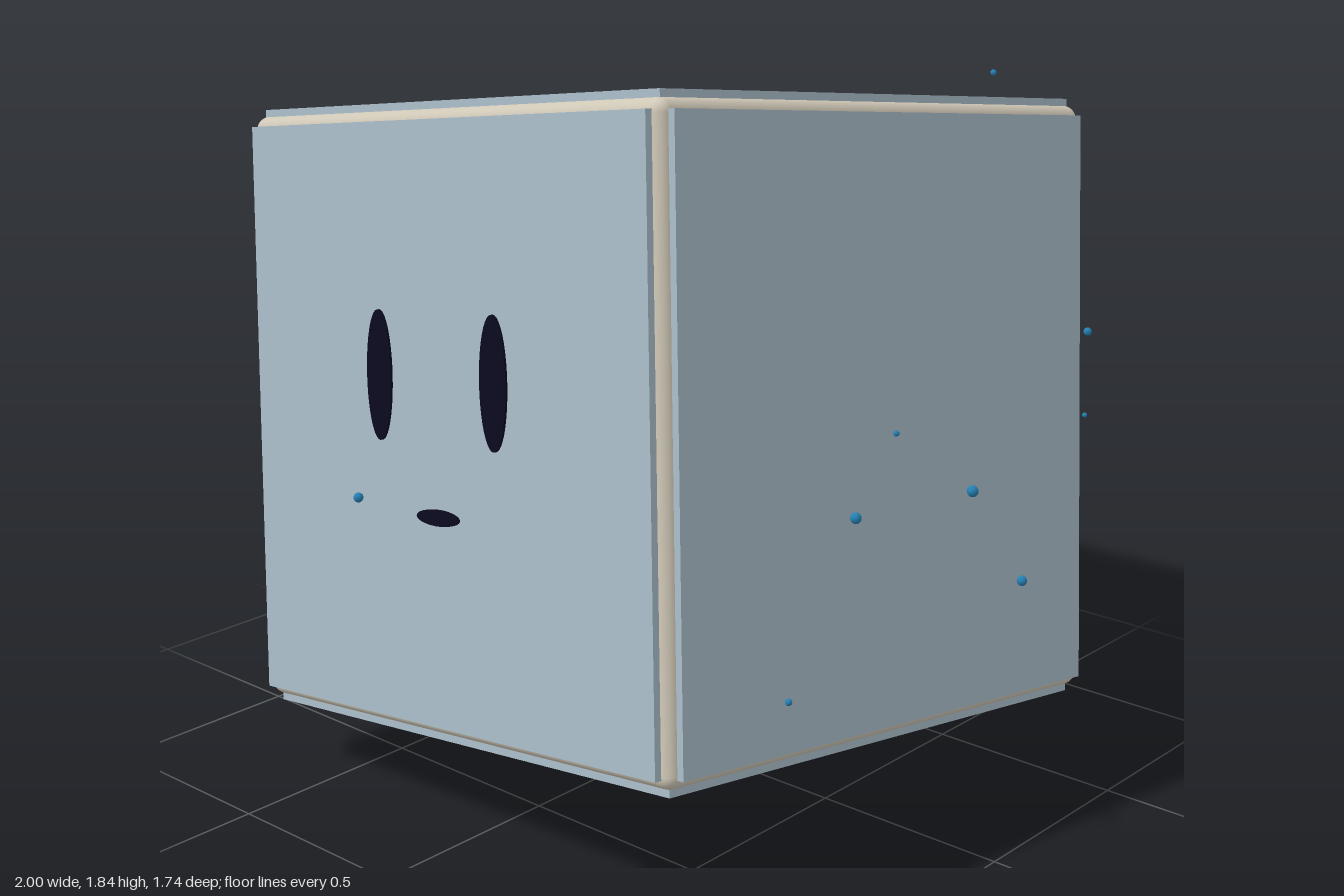
import * as THREE from 'three';
import { RoundedBoxGeometry } from 'three/addons/geometries/RoundedBoxGeometry.js';

const flat = (name, color) => {
  const m = new THREE.MeshStandardMaterial({ color });
  m.name = name;
  return m;
};

export function createModel() {
  const paleBlue = flat('pale blue', 0xa8bac6);
  const beige = flat('beige', 0xcfc7b6);
  const ink = flat('dark ink', 0x0a0a1e);
  const water = flat('water blue', 0x2580b4);

  const model = new THREE.Group();
  const add = (parent, name, geometry, material, pos = [0, 0, 0]) => {
    const mesh = new THREE.Mesh(geometry, material);
    mesh.name = name;
    mesh.position.set(...pos);
    parent.add(mesh);
    return mesh;
  };

  // Tilted cube body
  const cube = new THREE.Group();
  cube.name = 'tiltedCube';
  const zAxis = new THREE.Vector3(-0.076, 0.125, 0.989).normalize();
  const yAxis = zAxis.clone().cross(new THREE.Vector3(0.987, 0.146, 0.057)).normalize();
  const xAxis = yAxis.clone().cross(zAxis);
  cube.quaternion.setFromRotationMatrix(new THREE.Matrix4().makeBasis(xAxis, yAxis, zAxis));
  cube.position.set(-0.015, 0.92, 0);
  model.add(cube);

  // Rounded core, seen only in the seams between the plates
  add(cube, 'core', new RoundedBoxGeometry(1.45, 1.45, 1.45, 4, 0.032), beige);

  // Six face plates
  const size = 1.4, outer = 0.742, thick = 0.06;
  for (const [i, axis] of ['x', 'y', 'z'].entries()) {
    for (const side of [-1, 1]) {
      const dims = [size, size, size];
      dims[i] = thick;
      const plate = add(cube, 'facePlate', new THREE.BoxGeometry(...dims), paleBlue);
      plate.position[axis] = side * (outer - thick / 2);
    }
  }

  // Eyes and mouth: thin ellipses on the front plate
  const ellipse = (name, x, y, rx, ry) => {
    const disc = new THREE.CylinderGeometry(1, 1, 0.008, 40).rotateX(Math.PI / 2).scale(rx, ry, 1);
    add(cube, name, disc, ink, [x, y, outer + 0.002]);
  };
  for (const side of [-1, 1]) ellipse('eye', side * 0.205, 0.112, 0.045, 0.153);
  ellipse('mouth', 0, -0.207, 0.075, 0.019);

  // Floating droplets: x, y, z, radius
  const drops = [
    [0.88, 1.165, -0.49, 0.01], [0.835, 1.065, 0.21, 0.007], [0.965, 1.005, -0.355, 0.006],
    [0.805, 0.888, 0.31, 0.013], [0.787, 0.825, -0.168, 0.014], [0.986, 0.675, -0.085, 0.012],
    [0.852, 0.56, 0.595, 0.008], [-0.99, 1.58, 0.345, 0.01], [-0.95, 1.275, -0.635, 0.006],
    [-0.995, 1.185, 0.17, 0.005], [-0.835, 1.49, -0.45, 0.01], [-0.838, 0.625, -0.02, 0.008],
    [-0.73, 0.17, 0.64, 0.013], [-0.74, 0.06, -0.2, 0.01], [-0.325, 0.795, 0.76, 0.012],
    [0.385, 1.7, -0.79, 0.008], [-0.17, 0.61, -0.745, 0.008],
  ];
  const droplets = new THREE.Group();
  droplets.name = 'droplets';
  model.add(droplets);
  for (const [x, y, z, r] of drops) {
    add(droplets, 'droplet', new THREE.SphereGeometry(r, 12, 8), water, [x, y, z]);
  }
  return model;
}
